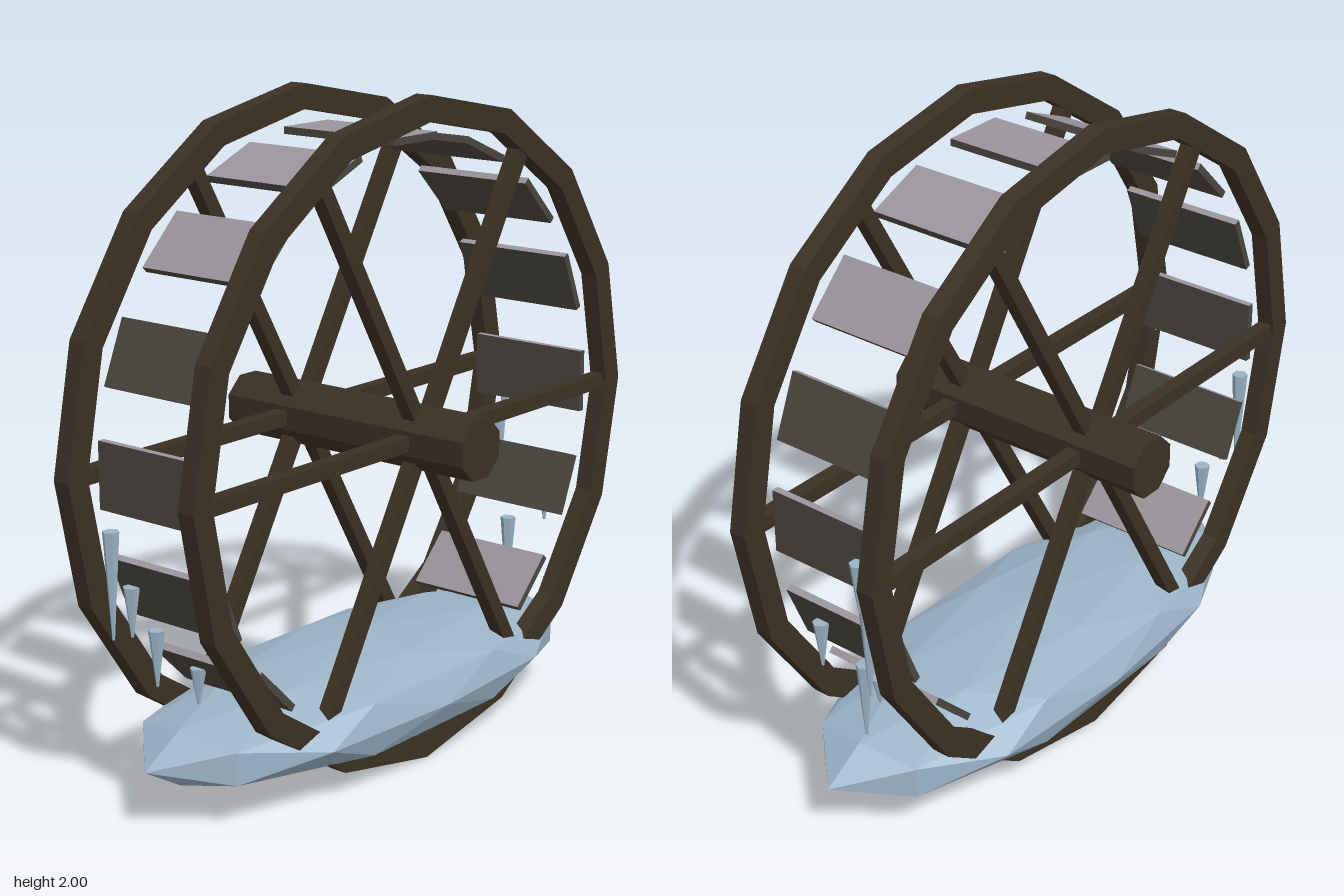
import * as THREE from 'three';

const mat = (name, color) => {
  const m = new THREE.MeshStandardMaterial({ color });
  m.name = name;
  return m;
};

export function createModel() {
  const group = new THREE.Group();
  const wood = mat('dark wood', 0x3b3024);
  const plank = mat('wet plank', 0x4a463f);
  const frost = mat('frost', 0x9a959c);
  const ice = mat('ice', 0x9bb3c6);
  [wood, plank, frost, ice].forEach((m) => { m.flatShading = true; });

  const add = (name, geometry, material, parent = group) => {
    const mesh = new THREE.Mesh(geometry, material);
    mesh.name = name;
    parent.add(mesh);
    return mesh;
  };

  // Everything that turns sits around the axle at y = 1
  const wheel = new THREE.Group();
  wheel.name = 'wheel';
  wheel.position.y = 1;
  group.add(wheel);

  const SIDES = 16;
  const ringPoints = (r) => Array.from({ length: SIDES }, (_, i) => {
    const a = (i / SIDES) * Math.PI * 2;
    return new THREE.Vector2(r * Math.cos(a), r * Math.sin(a));
  });

  // Two sixteen-sided rims with six spokes each
  const rimShape = new THREE.Shape(ringPoints(1));
  rimShape.holes.push(new THREE.Path(ringPoints(0.925)));
  const rimGeometry = new THREE.ExtrudeGeometry(rimShape, { depth: 0.056, bevelEnabled: false });
  rimGeometry.translate(0, 0, -0.028).rotateY(Math.PI / 2);
  const spokeGeometry = new THREE.BoxGeometry(0.045, 0.045, 0.92).translate(0, 0, 0.46);
  for (const side of [-1, 1]) {
    add('rim', rimGeometry, wood, wheel).position.x = side * 0.234;
    for (let i = 0; i < 6; i++) {
      const spoke = add('spoke', spokeGeometry, wood, wheel);
      spoke.position.x = side * 0.234;
      spoke.rotation.x = (i * Math.PI) / 3;
    }
  }

  // Axle
  add('axle', new THREE.CylinderGeometry(0.096, 0.096, 0.9, 8, 1, false, Math.PI / 8)
    .rotateZ(Math.PI / 2), wood, wheel);

  // Paddles, frosted on every face that points up
  const paddleGeometry = new THREE.BoxGeometry(0.412, 0.022, 0.198);
  for (let i = 0; i < SIDES; i++) {
    const a = (i / SIDES) * Math.PI * 2;
    const up = [0, 0, Math.cos(a), -Math.cos(a), -Math.sin(a), Math.sin(a)];
    const paddle = add('paddle', paddleGeometry, up.map((y) => (y > 0.5 ? frost : plank)), wheel);
    paddle.position.set(0, 0.872 * Math.cos(a), 0.872 * Math.sin(a));
    paddle.rotation.x = a;
  }

  // Faceted ice sheet around the foot of the wheel, flattened at its sides
  const iceGeometry = new THREE.IcosahedronGeometry(1, 1);
  const p = iceGeometry.attributes.position;
  for (let i = 0; i < p.count; i++) {
    p.setXYZ(i, THREE.MathUtils.clamp(p.getX(i) * 0.365, -0.342, 0.342),
      p.getY(i) * 0.16, p.getZ(i) * 0.94);
  }
  iceGeometry.computeVertexNormals();
  add('iceSheet', iceGeometry, ice).position.y = 0.19;

  // Icicles hanging from the paddles: x, top y, z, length
  const icicles = [
    [0.17, 1.0, 0.89, 0.12], [-0.18, 0.84, 0.87, 0.32], [-0.145, 0.675, 0.83, 0.15],
    [-0.125, 0.53, 0.755, 0.17], [-0.065, 0.4, 0.65, 0.11],
    [-0.12, 1.0, -0.9, 0.16], [-0.12, 0.84, -0.87, 0.3], [0.1, 0.675, -0.83, 0.15],
    [0.005, 0.53, -0.76, 0.25], [0.05, 0.4, -0.65, 0.09],
  ];
  for (const [x, y, z, length] of icicles) {
    add('icicle', new THREE.CylinderGeometry(0.025, 0.004, length, 6), ice)
      .position.set(x, y - length / 2, z);
  }

  return group;
}
